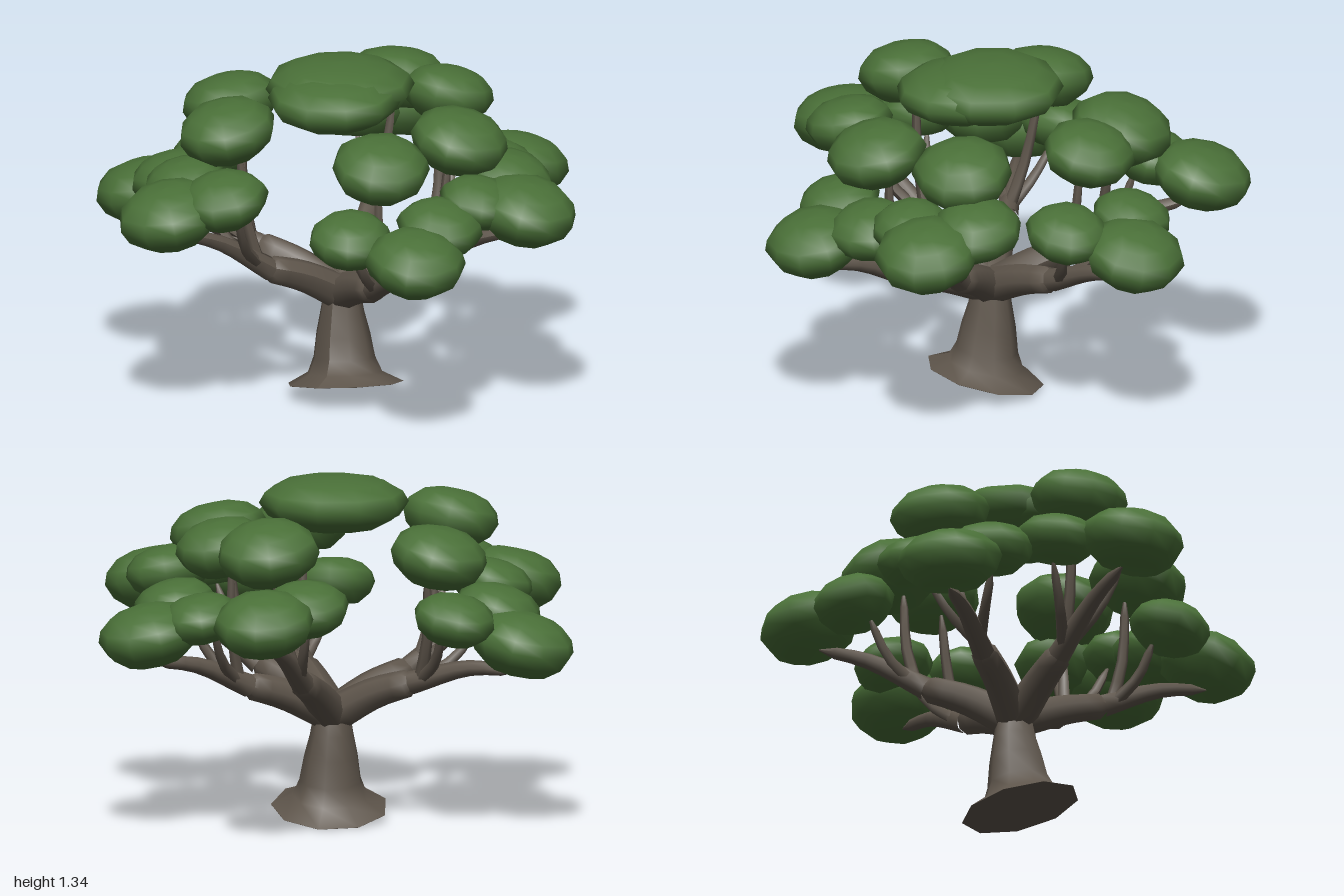
import * as THREE from 'three';

const bark = new THREE.MeshStandardMaterial({ name: 'bark brown', color: 0x5e554b });
const leaf = new THREE.MeshStandardMaterial({ name: 'leaf green', color: 0x4a7038 });
const V = (a) => new THREE.Vector3(...a);

// Small seeded random source
let seed = 7;
const rand = () => (seed = (seed * 16807) % 2147483647) / 2147483647;

// Tapered round limb along a curve, closed at both ends
function limb(name, points, r0, r1, sides = 8, steps = 7) {
  const curve = new THREE.CatmullRomCurve3(points.map(V));
  const g = new THREE.TubeGeometry(curve, steps, 1, sides, false);
  const p = g.attributes.position, v = new THREE.Vector3();
  for (let i = 0; i < p.count; i++) {
    const t = Math.floor(i / (sides + 1)) / steps;
    const c = curve.getPointAt(t);
    const r = t === 1 ? r1 * 0.15 : r0 + (r1 - r0) * t;
    v.fromBufferAttribute(p, i).sub(c).setLength(r).add(c);
    p.setXYZ(i, v.x, v.y, v.z);
  }
  g.computeVertexNormals();
  const m = new THREE.Mesh(g, bark);
  m.name = name;
  return m;
}

// Flattened leaf dome with a flat underside, leaning away from the trunk
const domeProfile = [[0, -0.95], [0.58, -0.95], [0.88, -0.5], [1, 0], [0.92, 0.4], [0.68, 0.78], [0.36, 0.96], [0, 1]]
  .map(([r, y]) => new THREE.Vector2(r, y));

function leafClump([x, y, z, r, h = r * 0.56, lean = 0.23]) {
  const sides = 10;
  const g = new THREE.LatheGeometry(domeProfile, sides);
  const wobble = Array.from({ length: sides }, () => 0.97 + rand() * 0.07);
  const p = g.attributes.position, n = domeProfile.length;
  for (let i = 0; i < p.count; i++) {
    const k = wobble[Math.floor(i / n) % sides];
    p.setXYZ(i, p.getX(i) * k, p.getY(i), p.getZ(i) * k);
  }
  g.rotateY(rand() * 6).scale(r, h, r);
  const m = new THREE.Mesh(g, leaf);
  m.name = 'leafClump';
  m.position.set(x, y, z);
  m.quaternion.setFromAxisAngle(new THREE.Vector3(z, 0, -x).normalize(), lean);
  return m;
}

// Each bough: mid fork, tip, and the clumps it carries (x, y, z, radius)
const boughs = [
  { name: 'leftBough', fork: [-0.38, 0.57, 0.07], tip: [-0.77, 0.63, 0.14],
    clumps: [[-0.79, 0.74, 0.15, 0.2], [-0.62, 0.84, 0.24, 0.17], [-0.62, 0.85, -0.07, 0.16], [-0.52, 1.08, -0.03, 0.19]] },
  { name: 'frontLeftBough', fork: [-0.2, 0.57, 0.34], tip: [-0.37, 0.78, 0.68],
    clumps: [[-0.39, 0.87, 0.73, 0.2], [-0.2, 0.935, 0.65, 0.17], [-0.47, 0.9, 0.45, 0.16], [-0.29, 1.14, 0.45, 0.19]] },
  { name: 'frontRightBough', fork: [0.28, 0.54, 0.3], tip: [0.57, 0.67, 0.56],
    clumps: [[0.58, 0.775, 0.56, 0.19], [0.29, 0.82, 0.55, 0.16], [0.57, 0.85, 0.34, 0.165], [0.34, 1.065, 0.385, 0.19]] },
  { name: 'rightBough', fork: [0.36, 0.58, 0.06], tip: [0.74, 0.78, 0.06],
    clumps: [[0.79, 0.87, 0.05, 0.2], [0.64, 0.93, -0.1, 0.17], [0.64, 0.91, 0.16, 0.15], [0.48, 1.085, 0, 0.19]] },
  { name: 'backRightBough', fork: [0.2, 0.56, -0.3], tip: [0.38, 0.68, -0.64],
    clumps: [[0.39, 0.79, -0.655, 0.195], [0.43, 0.865, -0.4, 0.16], [0.2, 0.86, -0.59, 0.15], [0.21, 1.11, -0.425, 0.18]] },
  { name: 'backLeftBough', fork: [-0.09, 0.6, -0.34], tip: [-0.17, 0.8, -0.72],
    clumps: [[-0.18, 0.9, -0.755, 0.195], [-0.24, 0.93, -0.54, 0.165], [-0.03, 1.12, -0.48, 0.2]] },
];

function makeTrunk() {
  // Flared trunk whose foot is cut on a slant
  const profile = [[0, 0], [0.225, 0], [0.225, 0.001], [0.145, 0.05], [0.12, 0.12], [0.105, 0.23], [0.085, 0.33], [0.07, 0.42], [0.05, 0.47], [0, 0.48]];
  const g = new THREE.LatheGeometry(profile.map(([r, y]) => new THREE.Vector2(r, y)), 9);
  const p = g.attributes.position;
  for (let i = 0; i < p.count; i++) {
    const x = p.getX(i), y = p.getY(i), z = p.getZ(i);
    const slant = Math.max(0, 1 - y / 0.35);
    p.setXYZ(i, x - 0.01 + 0.02 * slant, y + slant * (0.05 + 0.14 * x + 0.2 * z), z + 0.035 + 0.015 * slant);
  }
  g.computeVertexNormals();
  const m = new THREE.Mesh(g, bark);
  m.name = 'trunk';
  return m;
}

export function createModel() {
  const tree = new THREE.Group();
  tree.name = 'tree';
  tree.add(makeTrunk());

  for (const { name, fork, tip, clumps } of boughs) {
    const bough = new THREE.Group();
    bough.name = name;
    const root = [-0.01 + fork[0] * 0.06, 0.42, 0.035 + fork[2] * 0.06];
    const knee = [fork[0] * 0.5, 0.43 + (fork[1] - 0.43) * 0.55, 0.02 + fork[2] * 0.5];
    bough.add(limb('mainLimb', [root, knee, fork], 0.07, 0.05));
    // Outer limb arches slightly towards its tip
    const start = fork.map((f, i) => f + (knee[i] - f) * 0.2);
    const arch = fork.map((f, i) => (f + tip[i]) / 2 + (i === 1 ? 0.03 : 0));
    bough.add(limb('outerLimb', [start, arch, tip], 0.045, 0.02));
    // Thin upright twigs reach the other clumps
    for (const [x, y, z, r] of clumps.slice(1)) {
      const top = [x * 0.9, y - r * 0.3, z * 0.9];
      const bend = [(fork[0] + top[0]) / 2 * 1.04, fork[1] + (top[1] - fork[1]) * 0.4, (fork[2] + top[2]) / 2 * 1.04];
      bough.add(limb('twig', [fork, bend, top], 0.026, 0.014, 6, 5));
    }
    clumps.forEach((c) => bough.add(leafClump(c)));
    tree.add(bough);
  }

  // Crown over the middle
  const crown = new THREE.Group();
  crown.name = 'crown';
  crown.add(leafClump([-0.02, 1.235, 0.03, 0.28, 0.1, 0]));
  crown.add(leafClump([0.01, 1.22, 0.14, 0.255, 0.095, 0.05]));
  tree.add(crown);
  return tree;
}
